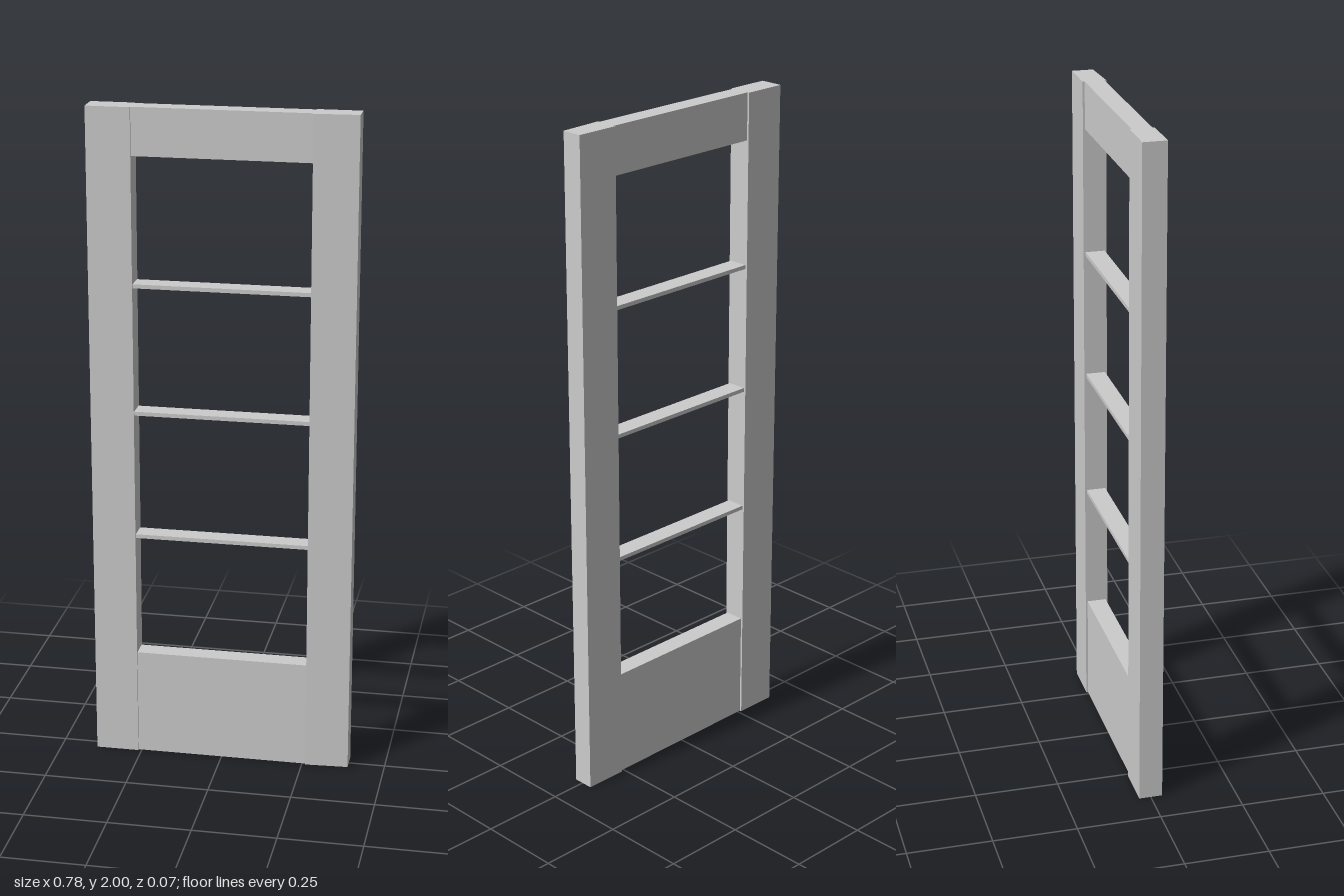
import * as THREE from 'three';

const INNER = 0.26, OUTER = 0.39;      // stile edges in x
const STILE = 0.035, RAIL = 0.029;     // half depths in z
const HEIGHT = 2, SILL = 0.328, HEAD = 1.86, BAR = 0.012;

const material = new THREE.MeshStandardMaterial({ color: 0xcccccc, side: THREE.DoubleSide });

// Upright prism from a plan outline of [x, z] corners, optionally hollow underneath
function prism(name, plan, y0, y1, openBelow = false) {
  const shape = new THREE.Shape(plan.map(([x, z]) => new THREE.Vector2(x, -z)));
  const geometry = new THREE.ExtrudeGeometry(shape, { depth: y1 - y0, bevelEnabled: false });
  geometry.rotateX(-Math.PI / 2).translate(0, y0, 0);
  if (openBelow) {
    // the lower cap comes first in the vertex list, so skip it
    const first = 3 * (plan.length - 2);
    const count = geometry.attributes.position.count - first;
    geometry.clearGroups();
    geometry.setIndex(Array.from({ length: count }, (_, i) => first + i));
  }
  const mesh = new THREE.Mesh(geometry, material);
  mesh.name = name;
  return mesh;
}

// Plan of a stile: the outer front edge may be planed back
const stilePlan = (side, outerFront) => [
  [side * INNER, STILE], [side * OUTER, outerFront],
  [side * OUTER, -STILE], [side * INNER, -STILE],
];

export function createModel() {
  const door = new THREE.Group();
  door.name = 'door';

  // Full height stiles, the left one with a bevelled front
  door.add(prism('leftStile', stilePlan(1, 0.028), 0, HEIGHT, true));
  door.add(prism('rightStile', stilePlan(-1, STILE), 0, HEIGHT, true));

  // Rails between the stiles, slightly recessed front and back
  const railPlan = [[-INNER, RAIL], [INNER, RAIL], [INNER, -RAIL], [-INNER, -RAIL]];
  door.add(prism('bottomRail', railPlan, 0, SILL, true));
  door.add(prism('topRail', railPlan, HEAD, HEIGHT));

  // Three thin bars dividing the opening into four equal lights
  const light = (HEAD - SILL - 3 * BAR) / 4;
  for (let i = 1; i <= 3; i++) {
    const y = SILL + i * light + (i - 1) * BAR;
    door.add(prism('glazingBar' + i, railPlan, y, y + BAR));
  }
  return door;
}
